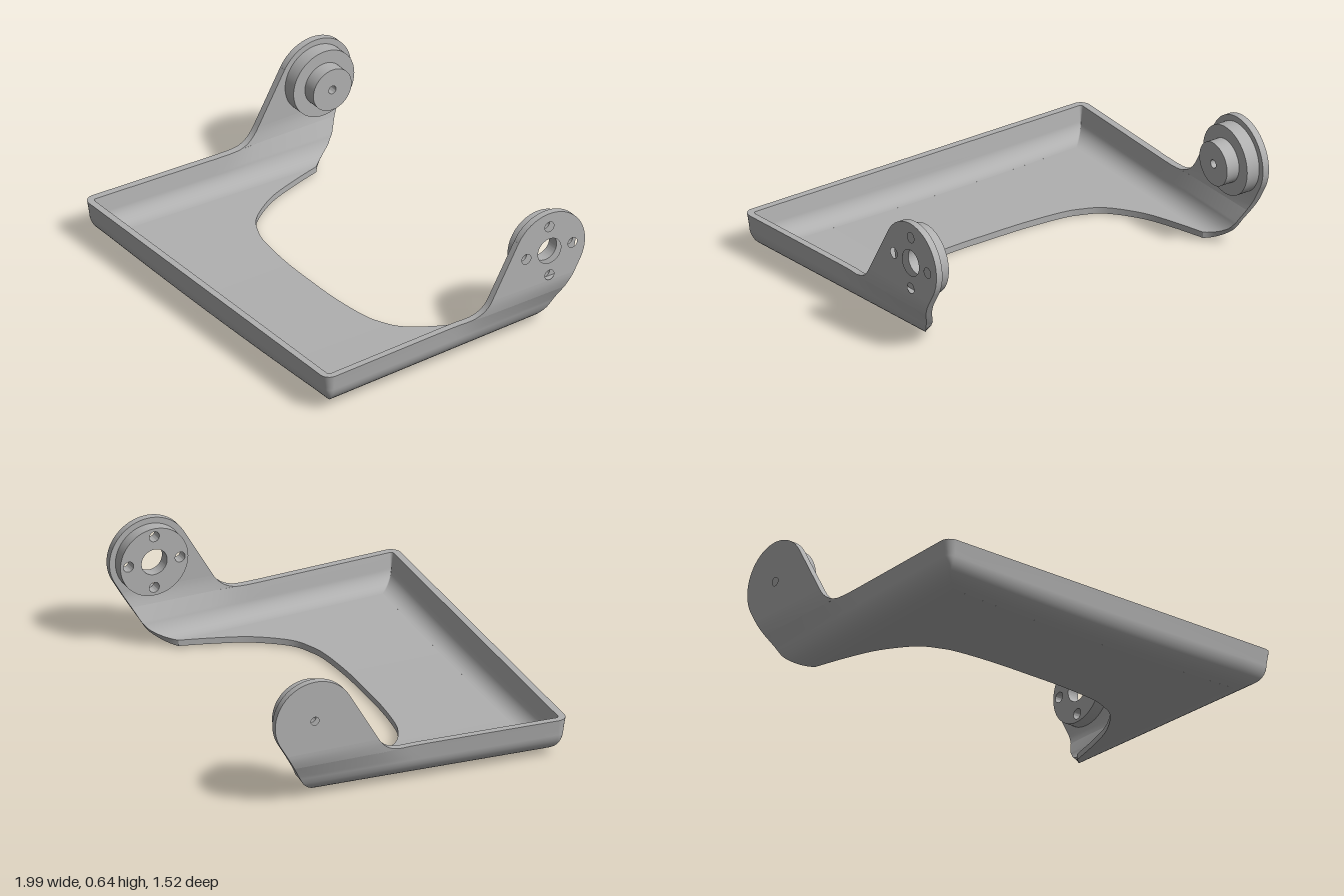
import * as THREE from 'three';
import { mergeGeometries, toCreasedNormals } from 'three/addons/utils/BufferGeometryUtils.js';

const lerp = THREE.MathUtils.lerp;
const smooth = THREE.MathUtils.smoothstep;
const FRONT = 0.752;      // z of the front rim
const THICK = 0.035;      // wall thickness
const CORNER = 0.13;      // width of the rounded lower edge
const NECK = 0.278;       // height where the flat arm heads begin
const PIVOT = { s: 0.55, y: 0.44 }; // arm head centre, s = -z

// Half width of the body: tapers to the back, then swells to a flat arm
function halfWidth(y, z) {
  const k = smooth(y, 0.08, NECK) * smooth(-z, 0, 0.2);
  return lerp(1 - 0.053 * (FRONT - z), 0.975, k);
}

// Slanted rear edge of the sides with a rounded foot
function rearZ(y) {
  if (y >= 0.08) return -0.579 - 0.577 * (y - 0.08);
  return -0.46 - 0.119 * Math.pow(Math.max(0, y - 0.016) / 0.064, 0.55);
}

// Slight downward bow of the underside
function bowed(x, y, z) {
  const k = THREE.MathUtils.clamp((0.2 - y) / 0.184, 0, 1);
  return [x, y - 0.016 * Math.max(0, 1 - (x / 0.87) ** 2) * k, z];
}

// Grid surface from a point function
function surface(nu, nv, point) {
  const pos = [], index = [];
  for (let i = 0; i <= nu; i++) for (let j = 0; j <= nv; j++) pos.push(...point(i, j));
  for (let i = 0; i < nu; i++) for (let j = 0; j < nv; j++) {
    const a = i * (nv + 1) + j, b = a + nv + 1;
    index.push(a, b, b + 1, a, b + 1, a + 1);
  }
  const g = new THREE.BufferGeometry();
  g.setAttribute('position', new THREE.Float32BufferAttribute(pos, 3));
  g.setIndex(index);
  g.computeVertexNormals();
  return g;
}

// Solid sheet: outer face, inner face and the four edges between them
function sheet(nu, nv, point) {
  const at = (k, i, j) => point(i, j, k);
  return mergeGeometries([
    surface(nu, nv, (i, j) => at(0, i, j)),
    surface(nv, nu, (j, i) => at(1, i, j)),
    surface(nu, 1, (i, k) => at(k, nu - i, 0)),
    surface(nv, 1, (j, k) => at(k, nu, nv - j)),
    surface(nu, 1, (i, k) => at(k, i, nv)),
    surface(nv, 1, (j, k) => at(k, 0, j)),
  ]);
}

// Wall section: inset and height, from the rim down to the floor
function wallProfile(i, inner) {
  if (i === 0) return [inner ? THICK : 0, 0.2];
  const a = ((i - 1) / 11) * Math.PI / 2;
  const r = inner ? 0.085 : 0.12;
  return [CORNER - r * Math.cos(a), (inner ? 0.131 : 0.136) - r * Math.sin(a)];
}

// Wall running along one side, across the front and back along the other side
function wallGeometry() {
  const side = 18, corner = 6, half = 8, total = 2 * (side + corner + half);
  return sheet(12, total, (i, j, inner) => {
    const [d, y] = wallProfile(i, inner);
    const back = rearZ(wallProfile(i, 0)[1]);
    const r = Math.max(0.05 - d, 0.004);
    const n = Math.min(j, total - j), sign = j <= total / 2 ? -1 : 1;
    const cz = FRONT - d - r, cx = halfWidth(y, cz) - d - r;
    let x, z;
    if (n <= side) {
      z = lerp(back, cz, n / side);
      x = halfWidth(y, z) - d;
    } else if (n <= side + corner) {
      const a = ((n - side) / corner) * Math.PI / 2;
      x = cx + r * Math.cos(a);
      z = cz + r * Math.sin(a);
    } else {
      x = lerp(cx, 0, (n - side - corner) / half);
      z = FRONT - d;
    }
    return bowed(sign * x, y, z);
  });
}

// Floor with a wide curved cut-out at the back
function floorGeometry() {
  const right = [[0.24, 0.14], [0.48, 0.12], [0.6, 0.09], [0.72, 0.03], [0.85, -0.12], [0.93, -0.28], [1, -0.46]];
  const left = right.map(([u, z]) => [-u, z]).reverse();
  const edge = new THREE.SplineCurve([...left, [0, 0.143], ...right].map(([u, z]) => new THREE.Vector2(u, z)));
  const n = 70;
  return sheet(n, 16, (i, j, inner) => {
    const p = edge.getPoint(i / n);
    const y = inner ? 0.046 : 0.016;
    const z = lerp(p.y, FRONT - CORNER, j / 16);
    return bowed(p.x * (halfWidth(y, z) - CORNER), y, z);
  });
}

// Base of an arm, filleted into the rim
function neckGeometry(sign) {
  const n = 10, m = 16;
  return sheet(n, m, (i, j, inner) => {
    const t = i / n, y = 0.2 + (NECK - 0.2) * t * t;
    const front = (1 - t) ** 2 * -0.084 + 2 * t * (1 - t) * -0.174 + t * t * -0.219;
    const v = sign > 0 ? j / m : 1 - j / m;
    const z = lerp(rearZ(y), front, v);
    return [sign * (halfWidth(y, z) - (inner ? THICK : 0)), y, z];
  });
}

// Plate cut from a side outline with round holes, spanning x0 to x1
function plate(shape, holes, x0, x1) {
  for (const [s, y, r] of holes) {
    shape.holes.push(new THREE.Path().absarc(s, y, r, 0, Math.PI * 2, true));
  }
  const g = new THREE.ExtrudeGeometry(shape, { depth: x1 - x0, bevelEnabled: false, curveSegments: 40 });
  g.rotateY(Math.PI / 2);
  g.translate(x0, 0, 0);
  return toCreasedNormals(g, 0.6);
}

function headShape() {
  const s = new THREE.Shape();
  s.moveTo(0.219, NECK);
  s.lineTo(0.372, 0.5425);
  s.absarc(PIVOT.s, PIVOT.y, 0.205, Math.PI * 5 / 6, -Math.PI / 6, true);
  s.lineTo(-rearZ(NECK), NECK);
  s.closePath();
  return s;
}

const discShape = (r) => new THREE.Shape().absarc(PIVOT.s, PIVOT.y, r, 0, Math.PI * 2, false);

export function createModel() {
  const grey = new THREE.MeshStandardMaterial({ color: 0xb0b0b0 });
  grey.name = 'plain grey';
  const model = new THREE.Group();
  model.name = 'trayBracket';
  const body = new THREE.Group();
  body.name = 'body';
  body.rotation.y = -0.007;
  model.add(body);
  const add = (name, geometry, parent = body) => {
    const mesh = new THREE.Mesh(geometry, grey);
    mesh.name = name;
    parent.add(mesh);
  };

  add('wall', wallGeometry());
  add('floor', floorGeometry());

  // Left arm: bored flange with four screw holes
  const { s, y } = PIVOT;
  const bolts = [[s, y, 0.066]];
  for (let i = 0; i < 4; i++) {
    const a = i * Math.PI / 2;
    bolts.push([s + 0.133 * Math.cos(a), y + 0.133 * Math.sin(a), 0.026]);
  }
  const leftArm = new THREE.Group();
  leftArm.name = 'leftArm';
  body.add(leftArm);
  add('leftNeck', neckGeometry(1), leftArm);
  add('leftHead', plate(headShape(), bolts, 0.94, 0.975), leftArm);
  add('leftFlange', plate(discShape(0.175), bolts, 0.88, 0.94), leftArm);

  // Right arm: stepped hub with a small through hole
  const pin = [[s, y, 0.021]];
  const rightArm = new THREE.Group();
  rightArm.name = 'rightArm';
  body.add(rightArm);
  add('rightNeck', neckGeometry(-1), rightArm);
  add('rightHead', plate(headShape(), pin, -0.975, -0.94), rightArm);
  add('rightFlange', plate(discShape(0.175), pin, -0.94, -0.87), rightArm);
  add('rightHub', plate(discShape(0.11), pin, -0.87, -0.8), rightArm);

  return model;
}
